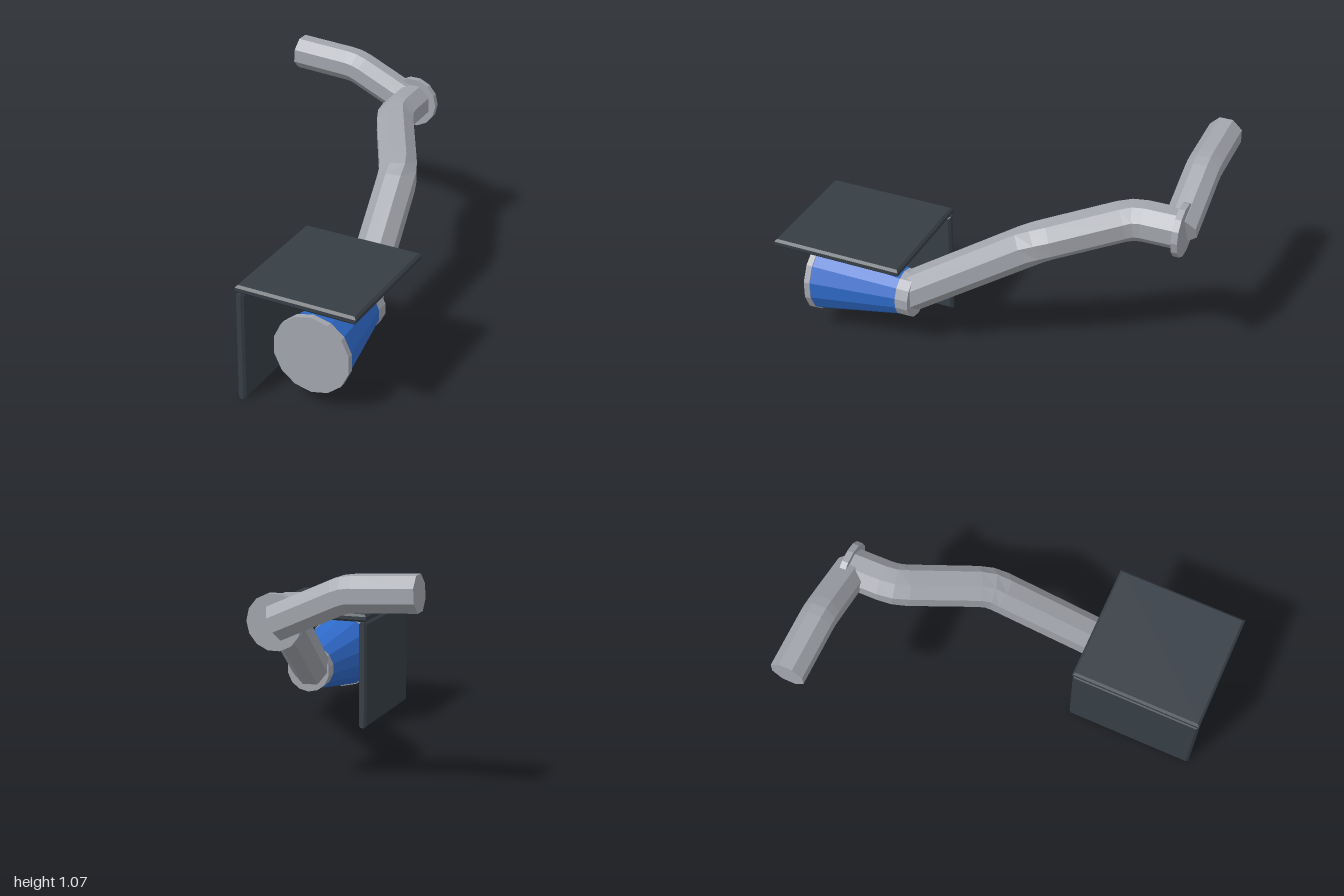
import * as THREE from 'three';

const mat = (name, color) => {
  const m = new THREE.MeshStandardMaterial({ color, flatShading: true });
  m.name = name;
  return m;
};

// Eight-sided capped tube along a path whose corners are slightly rounded
function pipe(points, radius, round, sides = 8) {
  const p = points.map((a) => new THREE.Vector3(...a));
  const rings = [];
  const dir = (a, b) => b.clone().sub(a).normalize();
  const last = p.length - 1;
  rings.push([p[0], dir(p[0], p[1])]);
  for (let i = 1; i < last; i++) {
    const d0 = dir(p[i - 1], p[i]), d1 = dir(p[i], p[i + 1]);
    const curve = new THREE.QuadraticBezierCurve3(
      p[i].clone().addScaledVector(d0, -round), p[i], p[i].clone().addScaledVector(d1, round));
    for (const t of [0, 0.5, 1]) rings.push([curve.getPoint(t), curve.getTangent(t)]);
  }
  rings.push([p[last], dir(p[last - 1], p[last])]);

  const pos = [], index = [];
  const up = new THREE.Vector3(0, 1, 0);
  for (const [c, t] of rings) {
    const side = up.clone().cross(t).normalize();
    const top = t.clone().cross(side);
    for (let k = 0; k < sides; k++) {
      const a = ((k + 0.5) / sides) * Math.PI * 2;
      const v = c.clone().addScaledVector(side, radius * Math.cos(a)).addScaledVector(top, radius * Math.sin(a));
      pos.push(v.x, v.y, v.z);
    }
  }
  for (let r = 0; r < rings.length - 1; r++) {
    for (let k = 0; k < sides; k++) {
      const a = r * sides + k, b = r * sides + (k + 1) % sides;
      index.push(a, b, b + sides, a, b + sides, a + sides);
    }
  }
  const e = (rings.length - 1) * sides;
  for (let k = 1; k < sides - 1; k++) {
    index.push(0, k + 1, k, e, e + k, e + k + 1);
  }
  const g = new THREE.BufferGeometry();
  g.setAttribute('position', new THREE.Float32BufferAttribute(pos, 3));
  g.setIndex(index);
  const flat = g.toNonIndexed();
  flat.computeVertexNormals();
  return flat;
}

// Flat board with chamfered rims, lying in XY and centred on the origin
function board(w, h, thick, c = 0.012) {
  const x = w / 2 - c, y = h / 2 - c;
  const s = new THREE.Shape([[-x, -y], [x, -y], [x, y], [-x, y]].map((a) => new THREE.Vector2(...a)));
  const g = new THREE.ExtrudeGeometry(s, {
    depth: thick - 2 * c, bevelEnabled: true, bevelThickness: c, bevelSize: c, bevelSegments: 1,
  });
  return g.translate(0, 0, c - thick / 2);
}

// Fourteen-sided drum along z between two depths
function drum(rFront, rBack, zFront, zBack, twist = 0) {
  return new THREE.CylinderGeometry(rFront, rBack, zFront - zBack, 14, 1, false, twist)
    .rotateX(Math.PI / 2).translate(0, 0, (zFront + zBack) / 2);
}

export function createModel() {
  const grey = mat('grey metal', 0xa2a5ac);
  const blue = mat('blue paint', 0x2f6aca);
  const dark = mat('dark slate', 0x363e45);
  const model = new THREE.Group();
  model.name = 'bentArmWithLamp';
  const add = (name, geo, material, x = 0, y = 0, z = 0) => {
    const m = new THREE.Mesh(geo, material);
    m.name = name;
    m.position.set(x, y, z);
    model.add(m);
    return m;
  };

  // Tapered head with its front plate and rear collar
  add('headPlate', drum(0.205, 0.205, 0.9, 0.868), grey, 0.38, 0.29);
  add('headCone', drum(0.2, 0.122, 0.868, 0.42), blue, 0.38, 0.29);
  add('headCollar', drum(0.122, 0.122, 0.42, 0.35), grey, 0.38, 0.29);

  // Long arm from the collar back to the joint
  add('mainArm', pipe([
    [0.375, 0.295, 0.39], [0.265, 0.705, -0.26], [0.035, 0.817, -0.68], [0.03, 0.817, -0.925],
  ], 0.105, 0.06), grey);

  // Joint disc and the rear arm reaching sideways
  add('jointDisc', drum(0.137, 0.137, -0.915, -0.948, Math.PI / 14), grey, 0.03, 0.815);
  add('rearArm', pipe([
    [-0.663, 0.987, -0.915], [-0.315, 0.967, -0.915], [0.03, 0.81, -0.915],
  ], 0.092, 0.04), grey);

  // Shield boards over and beside the head
  add('topBoard', board(0.635, 0.695, 0.042), dark, 0.348, 0.604, 0.6525).rotation.x = -Math.PI / 2;
  add('sideBoard', board(0.695, 0.58, 0.044), dark, 0.052, 0.292, 0.6525).rotation.y = Math.PI / 2;

  return model;
}
